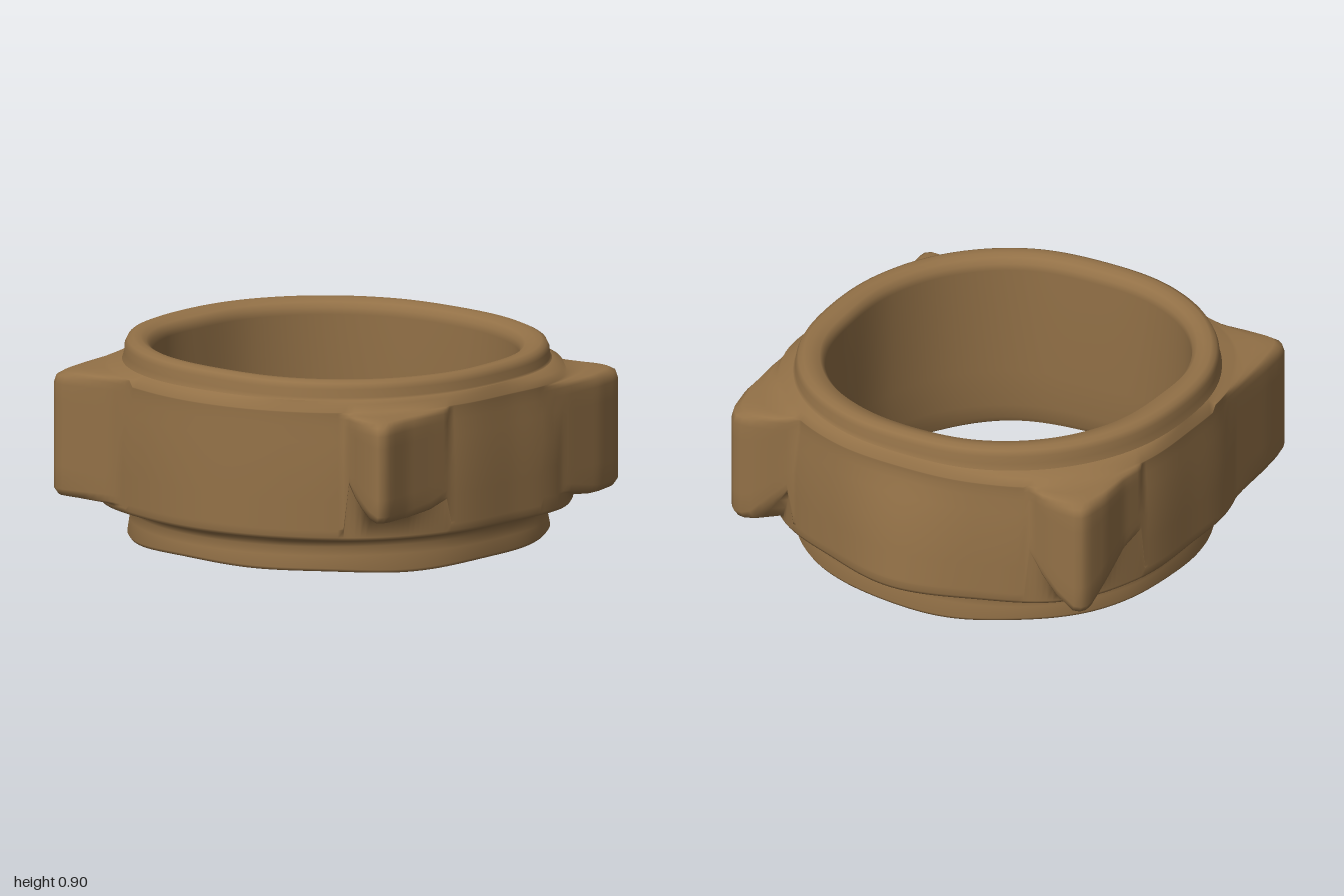
import * as THREE from 'three';

const SEG = 256;
const { lerp } = THREE.MathUtils;

// Outlines seen from above: radius every 22.5 degrees, from +x toward +z
const OUTLINES = {
  hole: [.76, .79, .82, .83, .81, .83, .84, .82, .775, .78, .78, .77, .75, .76, .78, .78],
  collar: [.89, .91, .94, .95, .93, .95, .96, .95, .92, .92, .915, .90, .875, .895, .915, .91],
  bandTop: [.925, .95, .98, .98, .98, 1.0, 1.05, 1.01, .95, .975, 1.0, .945, .91, .94, .98, .99],
  band: [.94, .965, 1.0, .99, .99, 1.015, 1.07, 1.025, .96, .995, 1.03, .97, .965, .96, 1.01, 1.015],
  bandLow: [.94, .965, 1.0, .99, .995, 1.015, 1.07, 1.025, .96, .995, 1.03, .98, .998, .965, 1.01, 1.015],
  foot: [.88, .90, .92, .94, .945, .95, .95, .925, .895, .91, .91, .89, .875, .89, .915, .91],
};

// Corner lugs: shelf height and outline points [x, z, bottom height] by rising angle
const LUGS = [
  { top: .742, points: [[.89, .38, .34], [.882, .5, .3], [.875, .66, .28], [.888, .81, .28], [.882, .848, .28],
    [.855, .865, .28], [.79, .848, .31], [.70, .815, .38], [.62, .775, .46]] },
  { top: .77, points: [[-.50, .885, .2], [-.63, .87, .2], [-.75, .89, .2], [-.88, .905, .2], [-.92, .89, .2],
    [-.942, .84, .2], [-.95, .68, .2], [-.95, .4, .2], [-.95, .2, .2]] },
  { top: .75, points: [[-.925, -.36, .44], [-.905, -.5, .38], [-.91, -.68, .28], [-.897, -.79, .2], [-.885, -.83, .2],
    [-.85, -.845, .2], [-.76, -.842, .26], [-.68, -.83, .34], [-.58, -.79, .45]] },
  { top: .742, points: [[.62, -.775, .4], [.72, -.82, .3], [.82, -.848, .2], [.89, -.84, .2], [.93, -.78, .2],
    [.955, -.62, .2], [.95, -.4, .24], [.935, -.2, .26]] },
];

// Skins a list of loops; loops run from +x toward +z and go upward on the outside
function skin(rows) {
  const index = [];
  for (let j = 0; j < rows.length - 1; j++) {
    for (let i = 0; i < SEG; i++) {
      const a = j * SEG + i, b = j * SEG + (i + 1) % SEG;
      index.push(a, a + SEG, b, b, a + SEG, b + SEG);
    }
  }
  const geo = new THREE.BufferGeometry().setFromPoints(rows.flat());
  geo.setIndex(index);
  geo.computeVertexNormals();
  return geo;
}

// One loop from a rule giving [radius, height] at each angle
function makeLoop(rule) {
  return Array.from({ length: SEG }, (_, i) => {
    const a = i / SEG * Math.PI * 2, [r, y] = rule(a);
    return new THREE.Vector3(Math.cos(a) * r, y, Math.sin(a) * r);
  });
}

// Smooth closed interpolation of an outline
function radiusAt(name, angle) {
  const list = OUTLINES[name], f = angle / Math.PI * 8, k = Math.floor(f), u = f - k;
  const [a, b, c, d] = [-1, 0, 1, 2].map(o => list[(k + o + 16) % 16]);
  return b + 0.5 * u * (c - a + u * (2 * a - 5 * b + 4 * c - d + u * (3 * (b - c) + d - a)));
}

function ringRow([name, scale, y]) {
  return makeLoop(a => {
    const r = radiusAt(name, a) * scale;
    let h = y;
    if (y > 0.8) h -= 0.015 * Math.cos(a) * r; // slightly tilted rim
    if (y < 0.04) h += 0.004 * Math.sin(8 * a) - 0.009 * Math.sin(3 * a); // uneven foot
    return [r, h];
  });
}

// Band radius without lugs
function bandRadius(a, y) {
  const low = radiusAt('bandLow', a), mid = radiusAt('band', a), high = radiusAt('bandTop', a);
  return y < .5 ? lerp(low, mid, Math.max(0, (y - .22) / .28)) : lerp(mid, high, Math.min(1, (y - .5) / .2));
}

// Lug outline at an angle, or zero radius between lugs
function lugAt(a) {
  const angleOf = p => (Math.atan2(p[1], p[0]) + Math.PI * 2) % (Math.PI * 2);
  for (const { top, points } of LUGS) {
    for (let i = 0; i < points.length - 1; i++) {
      const p = points[i], q = points[i + 1], a0 = angleOf(p), a1 = angleOf(q);
      if (a < a0 || a > a1) continue;
      const r = (p[0] * q[1] - p[1] * q[0]) /
        (Math.cos(a) * (q[1] - p[1]) - Math.sin(a) * (q[0] - p[0]));
      return { r, bottom: lerp(p[2], q[2], (a - a0) / (a1 - a0)), top };
    }
  }
  return { r: 0, bottom: .22, top: .742 };
}

// Band row: share of the lug overhang, height fraction from lug bottom to top, height offset
function bandRow([share, fraction, offset]) {
  return makeLoop(a => {
    const lug = lugAt(a), y = lerp(lug.bottom, lug.top, fraction) + offset;
    const r = bandRadius(a, y);
    return [r + Math.max(0, lug.r - r) * share, y];
  });
}

export function createModel() {
  const group = new THREE.Group();
  const bronze = new THREE.MeshStandardMaterial({ color: 0x937147 });
  bronze.name = 'bronze';
  const add = (name, rows) => {
    const mesh = new THREE.Mesh(skin(rows), bronze);
    mesh.name = name;
    group.add(mesh);
  };

  // Foot ring, from its underside up to the ledge below the band
  add('foot', [['hole', 1.06, .022], ['foot', .95, .016], ['foot', .99, .018], ['foot', 1, .032],
    ['foot', .99, .09], ['foot', .985, .13], ['foot', 1, .155], ['bandLow', .965, .165]].map(ringRow));

  // Wide band with the four corner lugs growing out of it
  add('bandWithLugs', [
    ...[['bandLow', .965, .165], ['bandLow', .992, .172], ['bandLow', 1, .187]].map(ringRow),
    ...[[0, 0, -.004], [.6, 0, 0], [.9, 0, .01], [1, 0, .04], [1, .25, 0], [1, .5, 0], [1, .75, 0],
      [1, 1, -.06], [.95, 1, -.025], [.8, 1, -.008], [.4, 1, 0], [0, 1, .004]].map(bandRow),
    ...[['bandTop', .985, .779], ['collar', 1.01, .795]].map(ringRow)]);

  // Collar with its rounded rim, then down the bore
  add('collarAndBore', [['collar', 1.01, .795], ['collar', 1, .815], ['collar', .998, .85],
    ['collar', .985, .875], ['collar', .96, .885], ['collar', .925, .883], ['hole', 1.03, .872],
    ['hole', 1.005, .85], ['hole', 1, .82], ['hole', 1.005, .6], ['hole', 1.01, .3],
    ['hole', 1.025, .12], ['hole', 1.045, .05], ['hole', 1.06, .022]].map(ringRow));

  return group;
}
